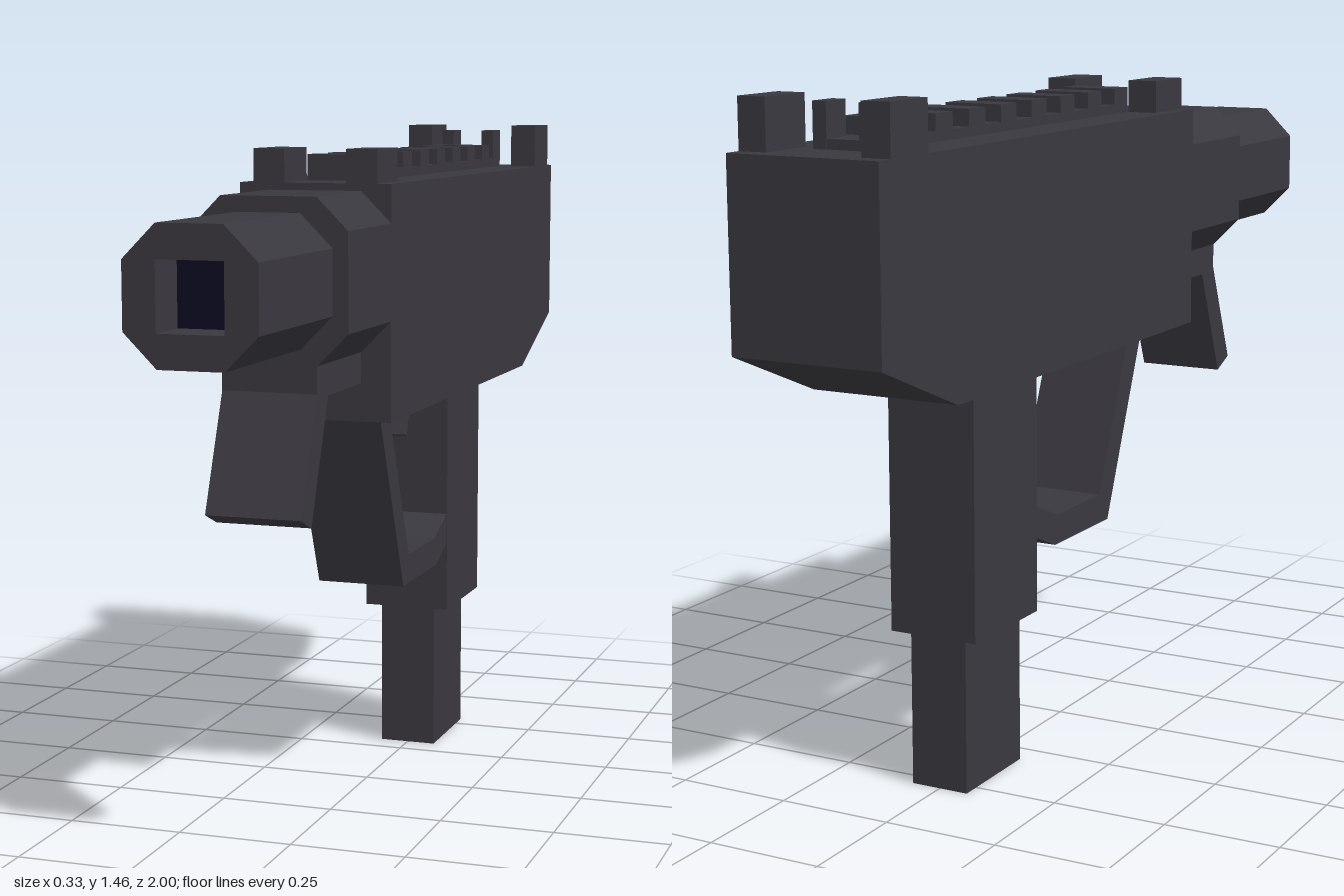
import * as THREE from 'three';

export function createModel() {
  const model = new THREE.Group();
  const gunmetal = new THREE.MeshStandardMaterial({ color: 0x3a383f });
  gunmetal.name = 'gunmetal';
  const boreDark = new THREE.MeshStandardMaterial({ color: 0x0b0b22 });
  boreDark.name = 'dark bore';

  function add(name, geometry, material = gunmetal) {
    const mesh = new THREE.Mesh(geometry, material);
    mesh.name = name;
    model.add(mesh);
    return mesh;
  }

  const shapeOf = (pts) => new THREE.Shape(pts.map(([a, b]) => new THREE.Vector2(a, b)));

  // Side profile of [z, y] points, extruded symmetrically across x
  function profile(name, pts, halfWidth) {
    const g = new THREE.ExtrudeGeometry(shapeOf(pts), { depth: halfWidth * 2, bevelEnabled: false });
    g.translate(0, 0, -halfWidth).rotateY(-Math.PI / 2);
    return add(name, g);
  }

  // Box given by its extents
  function box(name, x0, x1, y0, y1, z0, z1, material) {
    const g = new THREE.BoxGeometry(x1 - x0, y1 - y0, z1 - z0);
    g.translate((x0 + x1) / 2, (y0 + y1) / 2, (z0 + z1) / 2);
    return add(name, g, material);
  }

  // The same box on both sides of the centre line
  function pair(name, x0, x1, y0, y1, z0, z1) {
    box(name + 'Left', x0, x1, y0, y1, z0, z1);
    box(name + 'Right', -x1, -x0, y0, y1, z0, z1);
  }

  // Chamfered prism running along z, with an optional square hole
  function octagonPrism(name, half, chamfer, z0, z1, hole) {
    const h = half, c = half - chamfer;
    const shape = shapeOf([[c, -h], [h, -c], [h, c], [c, h], [-c, h], [-h, c], [-h, -c], [-c, -h]]);
    if (hole) {
      shape.holes.push(new THREE.Path([[-hole, -hole], [-hole, hole], [hole, hole], [hole, -hole]]
        .map(([a, b]) => new THREE.Vector2(a, b))));
    }
    const g = new THREE.ExtrudeGeometry(shape, { depth: z1 - z0, bevelEnabled: false });
    g.translate(0, 1.18, z0);
    return add(name, g);
  }

  // Main housing with the cut-away lower rear corner
  profile('receiver', [[0.335, 0.87], [0.335, 1.36], [-1, 1.36], [-1, 0.98], [-0.73, 0.87]], 0.165);

  // Collar and barrel with recessed bore
  octagonPrism('collar', 0.165, 0.065, 0.335, 0.605);
  octagonPrism('barrel', 0.133, 0.067, 0.6, 1, 0.067);
  box('bore', -0.067, 0.067, 1.113, 1.247, 0.892, 0.9, boreDark);

  // Block below the collar with the angled front grip
  profile('foregrip', [
    [0.335, 0.95], [0.335, 1.05], [0.604, 1.05], [0.604, 0.96],
    [0.7, 0.725], [0.64, 0.7], [0.54, 0.95],
  ], 0.1);

  // Grip, magazine, guard and trigger
  box('grip', -0.1, 0.1, 0.335, 0.87, -0.56, -0.295);
  box('magazine', -0.065, 0.065, 0, 0.335, -0.54, -0.31);
  profile('triggerGuard', [
    [0.21, 0.87], [0.04, 0.46], [-0.21, 0.46], [-0.295, 0.495],
    [-0.295, 0.565], [-0.2, 0.525], [0, 0.525], [0.145, 0.87],
  ], 0.099);
  profile('trigger', [[-0.23, 0.87], [-0.19, 0.765], [-0.2, 0.76], [-0.243, 0.87]], 0.03);

  // Toothed top rail
  box('railBase', -0.065, 0.065, 1.36, 1.38, -0.86, 0.2);
  for (let i = 0; i < 8; i++) {
    const z = 0.2 - i * 0.1285;
    box('railTooth' + (i + 1), -0.065, 0.065, 1.38, 1.415, z - 0.065, z);
  }

  // Front and rear sights
  pair('frontSight', 0.067, 0.135, 1.36, 1.43, 0.2, 0.335);
  pair('rearSightGuard', 0.104, 0.165, 1.36, 1.462, -0.96, -0.83);
  pair('rearSightNotch', 0.036, 0.066, 1.36, 1.45, -0.862, -0.795);

  return model;
}
